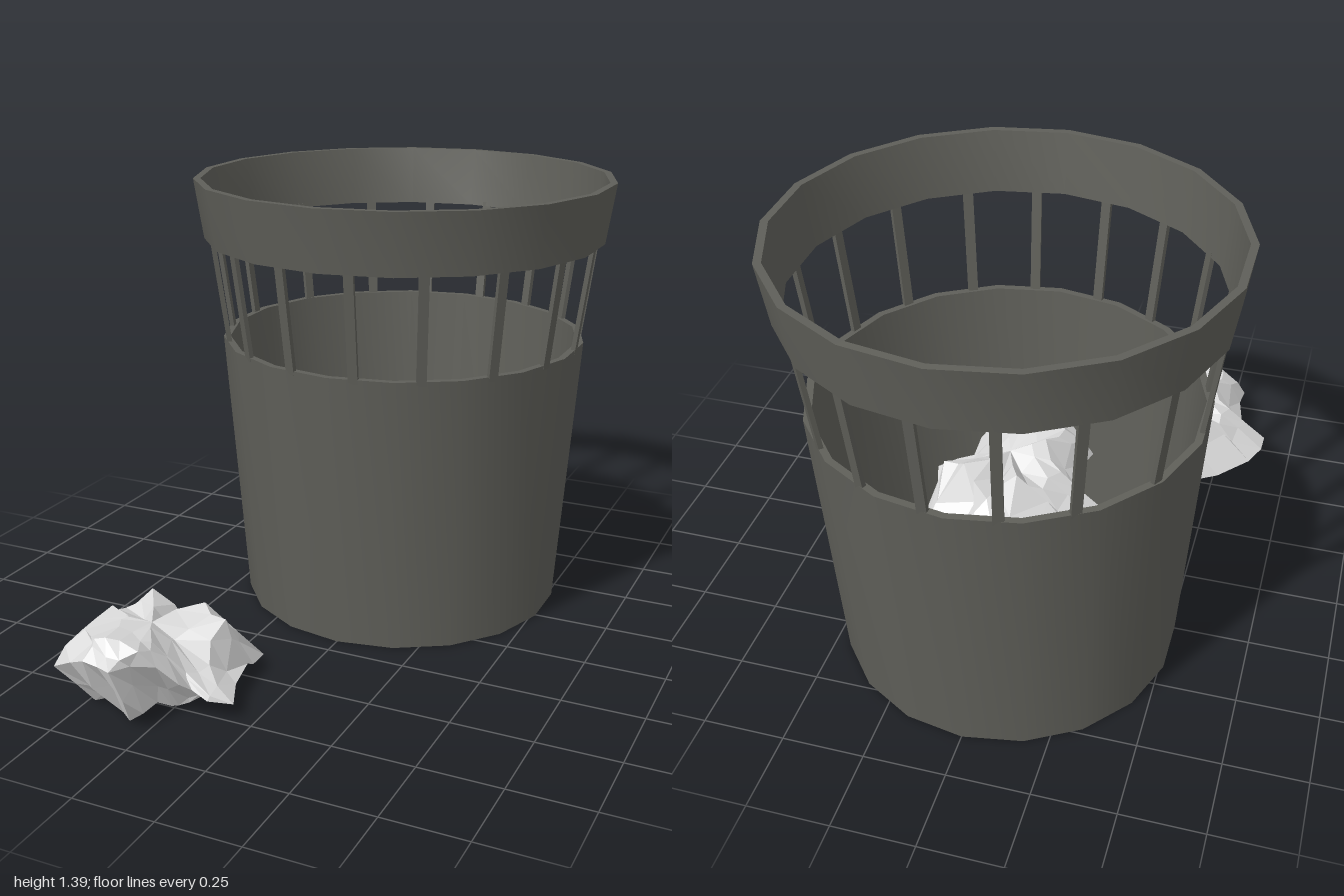
import * as THREE from 'three';
import { toCreasedNormals } from 'three/addons/utils/BufferGeometryUtils.js';

const SIDES = 18;

// Hollow tapered ring with a wall of even thickness
function taperedRing(y0, r0, y1, r1, wall) {
  const profile = [
    [r0, y0], [r1, y1], [r1 - wall, y1], [r0 - wall, y0], [r0, y0],
  ].map(([r, y]) => new THREE.Vector2(r, y));
  return toCreasedNormals(new THREE.LatheGeometry(profile, SIDES), 0.6);
}

// Repeatable offset in -1..1 that depends only on the position
function hash(p, k) {
  const s = Math.sin(p.x * 127.1 + p.y * 311.7 + p.z * 74.7 + k * 53.3) * 43758.5453;
  return (s - Math.floor(s)) * 2 - 1;
}

// Crumpled sheet: rim and upper folds as x, z, y, joined into a closed faceted lump
function crumpledPaper() {
  const rim = [
    [-0.45, 0.38, 0.10], [-0.32, 0.46, 0.06], [-0.16, 0.375, 0.01], [-0.13, 0.53, 0.06],
    [-0.06, 0.74, 0.05], [-0.17, 0.78, 0.09], [-0.22, 0.88, 0.20], [-0.30, 0.99, 0.22],
    [-0.39, 0.98, 0.23], [-0.55, 0.90, 0.14], [-0.57, 0.74, 0.10], [-0.655, 0.72, 0.08],
    [-0.62, 0.58, 0.07],
  ];
  const folds = [
    [-0.43, 0.56, 0.26], [-0.34, 0.53, 0.16], [-0.25, 0.56, 0.25], [-0.17, 0.58, 0.22],
    [-0.17, 0.68, 0.12], [-0.20, 0.76, 0.13], [-0.27, 0.82, 0.24], [-0.32, 0.90, 0.27],
    [-0.39, 0.92, 0.27], [-0.47, 0.85, 0.25], [-0.45, 0.74, 0.28], [-0.52, 0.70, 0.20],
    [-0.50, 0.60, 0.20],
  ];
  const cx = -0.355, cz = 0.68;
  const point = ([x, z, y]) => new THREE.Vector3(x - cx, y, z - cz);
  const outer = rim.map(point);
  const upper = folds.map(point);
  const lower = outer.map((p, i) => new THREE.Vector3(p.x * 0.62, i % 2 ? 0.005 : 0.04, p.z * 0.62));
  const top = new THREE.Vector3(0.01, 0.23, 0.02);
  const bottom = new THREE.Vector3(0, 0.01, 0);

  const triangles = [];
  const n = outer.length;
  for (let i = 0; i < n; i++) {
    const j = (i + 1) % n;
    triangles.push(
      [upper[i], upper[j], top],
      [outer[i], outer[j], upper[j]], [outer[i], upper[j], upper[i]],
      [lower[i], lower[j], outer[j]], [lower[i], outer[j], outer[i]],
      [bottom, lower[j], lower[i]],
    );
  }

  // Each edge is creased at its middle
  const crease = (a, b) => {
    const m = a.clone().add(b).multiplyScalar(0.5);
    const size = Math.min(0.022, a.distanceTo(b) * 0.15);
    const d = new THREE.Vector3(hash(m, 1), hash(m, 2), hash(m, 3)).multiplyScalar(size);
    m.add(d);
    m.y = Math.max(0.002, m.y);
    return m;
  };
  const points = [];
  for (const [a, b, c] of triangles) {
    const ab = crease(a, b), bc = crease(b, c), ca = crease(c, a);
    // Reversed because the rim list runs clockwise around +y
    points.push(a, ca, ab, b, ab, bc, c, bc, ca, ab, ca, bc);
  }
  // Orient each face away from the middle of the lump
  const middle = new THREE.Vector3(0, 0.12, 0);
  for (let i = 0; i < points.length; i += 3) {
    const t = new THREE.Triangle(points[i], points[i + 1], points[i + 2]);
    const normal = t.getNormal(new THREE.Vector3());
    const away = t.getMidpoint(new THREE.Vector3()).sub(middle);
    if (normal.dot(away) < 0) [points[i + 1], points[i + 2]] = [points[i + 2], points[i + 1]];
  }
  const geometry = new THREE.BufferGeometry().setFromPoints(points);
  geometry.computeVertexNormals();
  return geometry;
}

export function createModel() {
  const model = new THREE.Group();
  model.name = 'wasteBasketWithPaper';

  const binGrey = new THREE.MeshStandardMaterial({ color: 0x5f5f59 });
  binGrey.name = 'dark grey plastic';
  const paperWhite = new THREE.MeshStandardMaterial({ color: 0xdcdcdc, side: THREE.DoubleSide });
  paperWhite.name = 'white paper';

  const add = (parent, name, geometry, material) => {
    const mesh = new THREE.Mesh(geometry, material);
    mesh.name = name;
    parent.add(mesh);
    return mesh;
  };

  // Basket
  const basket = new THREE.Group();
  basket.name = 'basket';
  basket.position.z = -0.333;
  model.add(basket);
  add(basket, 'basketWall', taperedRing(0, 0.521, 0.885, 0.586, 0.022), binGrey);
  add(basket, 'basketRim', taperedRing(1.205, 0.638, 1.395, 0.667, 0.023), binGrey);
  const floor = add(basket, 'basketFloor', new THREE.CylinderGeometry(0.508, 0.508, 0.008, SIDES), binGrey);
  floor.position.y = 0.024;

  // Thin slats, unevenly spaced, joining wall and rim
  const slatAngles = [-74, -54, -33, -13, 8, 28, 50, 71, 92, 112, 133, 154, 174, 194, 214, 239, 266];
  const slatGeometry = new THREE.BoxGeometry(0.03, 0.35, 0.014);
  for (const angle of slatAngles) {
    const holder = new THREE.Group();
    holder.name = 'slatHolder';
    holder.rotation.y = THREE.MathUtils.degToRad(angle);
    basket.add(holder);
    const slat = add(holder, 'slat', slatGeometry, binGrey);
    slat.position.set(0, 1.045, 0.593);
    slat.rotation.x = 0.134;
  }

  // Crumpled paper: one beside the basket, two inside it
  const paper = crumpledPaper();
  const loose = add(model, 'loosePaper', paper, paperWhite);
  loose.position.set(-0.355, 0, 0.68);
  const upperPaper = add(model, 'upperPaper', paper, paperWhite);
  upperPaper.position.set(0.065, 0.24, -0.11);
  upperPaper.rotation.set(0, -0.14, 0);
  const lowerPaper = add(model, 'lowerPaper', paper, paperWhite);
  lowerPaper.position.set(0, 0.0, -0.53);
  lowerPaper.rotation.set(0, -1.45, 0);
  lowerPaper.scale.set(0.85, 1, 1);

  return model;
}
